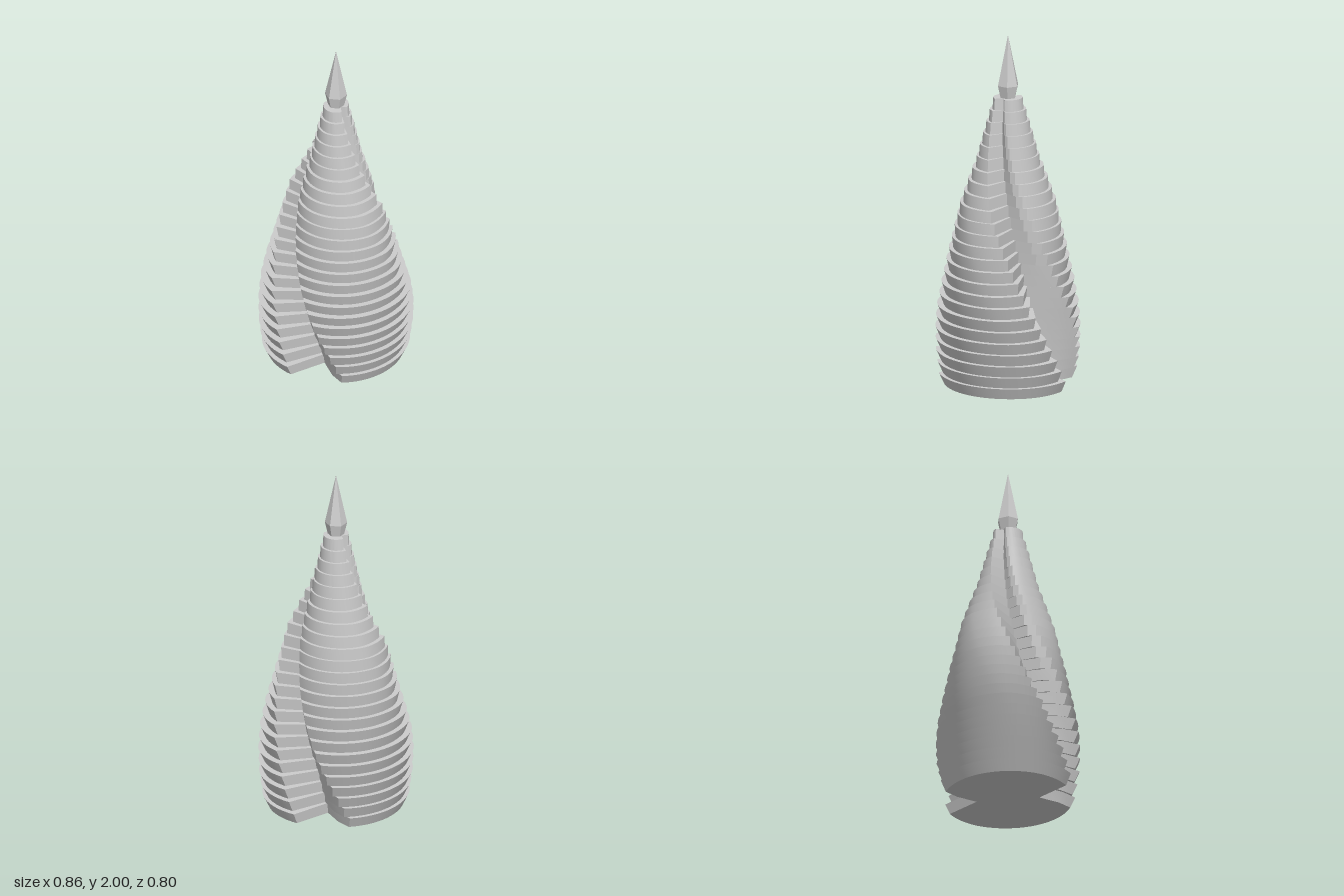
import * as THREE from 'three';
import { toCreasedNormals } from 'three/addons/utils/BufferGeometryUtils.js';

const TIERS = 25;
const TIER_HEIGHT = 1.64 / TIERS;
const TWIST = 4.8; // degrees per tier
const rad = THREE.MathUtils.degToRad;

// Linear lookup in a short list of [position, value] pairs
function sample(keys, t) {
  for (let i = 1; i < keys.length; i++) {
    const [t0, v0] = keys[i - 1], [t1, v1] = keys[i];
    if (t <= t1) return v0 + (v1 - v0) * (t - t0) / (t1 - t0);
  }
  return keys[keys.length - 1][1];
}

// By tier: peak radius, tip radius ratio, shrinkage towards the lobe's end, foot ratio
const RADIUS = [[0, 0.415], [2, 0.43], [4, 0.433], [6, 0.425], [8, 0.403], [11, 0.357],
  [15, 0.285], [17, 0.232], [19, 0.178], [24, 0.082]];
const TIP = [[0, 0.975], [4, 0.9], [8, 0.89], [11, 0.93], [15, 0.99], [24, 1]];
const SHRINK = [[0, 0.06], [5, 0.08], [8, 0.12], [11, 0.15], [15, 0.2], [24, 0.18]];
const FOOT = [[0, 0.925], [6, 0.935], [11, 0.965], [15, 1.01], [24, 1.05]];

// Floor plan: two lobes, each swelling from its tip, then cut back by a deep notch
function tierShape(tier) {
  const R = sample(RADIUS, tier);
  const tip = sample(TIP, tier);
  const shrink = sample(SHRINK, tier);
  const points = [];
  const add = (deg, r) => points.push(
    new THREE.Vector2(Math.cos(rad(deg)) * r * R, Math.sin(rad(deg)) * r * R));
  for (const side of [0, 180]) {
    const start = 113 + side + tier * TWIST;
    add(start - 21, 0.46); // inner corner of the notch
    for (let i = 0; i <= 28; i++) {
      const a = i * 133 / 28;
      const r = a < 35
        ? tip + (1 - tip) * Math.sin(a / 35 * Math.PI / 2)
        : 1 - shrink * (a - 35) / 98;
      add(start + a, r);
    }
    add(start + 142, 0.76 - shrink / 4); // bevel into the notch
  }
  return new THREE.Shape(points);
}

// One storey: extruded plan, its foot scaled so that low walls flare and high walls taper
function tierGeometry(tier) {
  const geometry = new THREE.ExtrudeGeometry(tierShape(tier),
    { depth: TIER_HEIGHT, bevelEnabled: false });
  geometry.rotateX(Math.PI / 2);
  const foot = sample(FOOT, tier);
  const p = geometry.attributes.position;
  for (let i = 0; i < p.count; i++) {
    if (p.getY(i) < -TIER_HEIGHT / 2) {
      p.setX(i, p.getX(i) * foot);
      p.setZ(i, p.getZ(i) * foot);
    }
  }
  return toCreasedNormals(geometry, 0.4);
}

export function createModel() {
  const model = new THREE.Group();
  model.name = 'twistedTower';
  const material = new THREE.MeshStandardMaterial({ color: 0xcccccc });

  // Stacked storeys, each turned a little further
  const body = new THREE.Group();
  body.name = 'towerBody';
  for (let i = 0; i < TIERS; i++) {
    const storey = new THREE.Mesh(tierGeometry(i), material);
    storey.name = `storey${i + 1}`;
    storey.position.y = (i + 1) * TIER_HEIGHT;
    body.add(storey);
  }
  model.add(body);

  // Six-sided spire
  const profile = [[0, 1.64], [0.046, 1.64], [0.062, 1.71], [0, 2]]
    .map(([r, y]) => new THREE.Vector2(r, y));
  const spireMaterial = material.clone();
  spireMaterial.flatShading = true;
  const spire = new THREE.Mesh(new THREE.LatheGeometry(profile, 6, rad(40)), spireMaterial);
  spire.name = 'spire';
  model.add(spire);

  return model;
}
